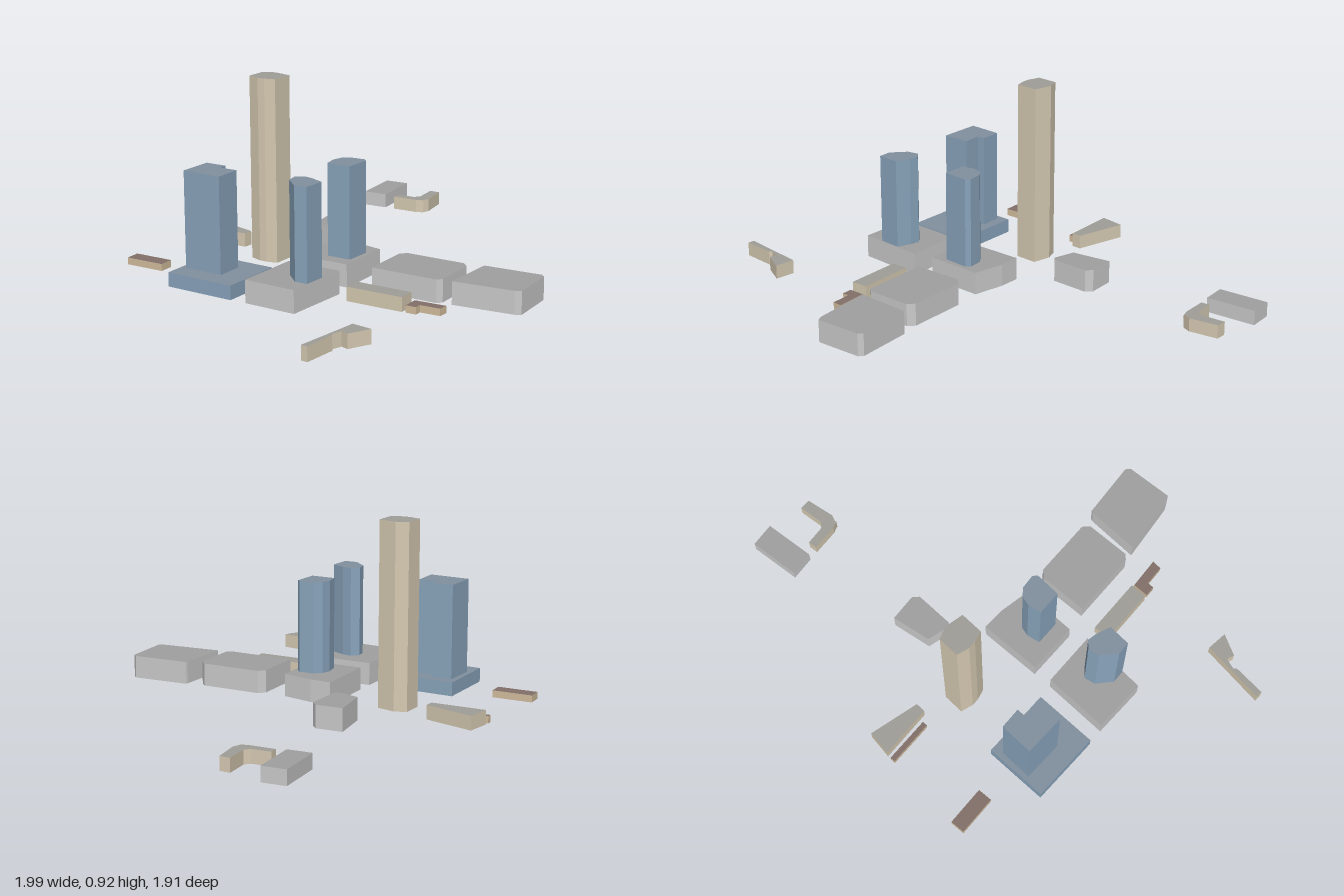
import * as THREE from 'three';

const paint = (color) => new THREE.MeshStandardMaterial({ color, side: THREE.DoubleSide, flatShading: true });

// Wall and roof materials for each kind of building
const grey = { wall: paint(0xcccccc), roof: paint(0xa0a0a0) };
const beige = { wall: paint(0xd8ccb4), roof: paint(0xa09e98) };
const brown = { wall: paint(0xd4bf9e), roof: paint(0x83706a) };
const blue = { wall: paint(0x8aa5bd), roof: paint(0x82909f) };

// Footprint from x, z pairs, clockwise as seen from above
function outline(...values) {
  const points = [];
  for (let i = 0; i < values.length; i += 2) points.push(new THREE.Vector2(values[i], values[i + 1]));
  return points;
}

// Rectangular footprint turned to the street grid, tilt in degrees
function plot(x, z, width, depth, tilt) {
  const centre = new THREE.Vector2(x, z);
  const turn = THREE.MathUtils.degToRad(-tilt);
  return [[-1, -1], [1, -1], [1, 1], [-1, 1]].map(([sx, sz]) =>
    new THREE.Vector2(x + sx * width / 2, z + sz * depth / 2).rotateAround(centre, turn));
}

// Cut corners off a footprint; cuts holds one length per corner, 0 leaves it sharp
function chamfer(points, cuts) {
  return points.flatMap((p, i) => {
    if (!cuts[i]) return [p];
    const before = points[(i + points.length - 1) % points.length];
    const after = points[(i + 1) % points.length];
    return [before, after].map((q) => q.clone().sub(p).setLength(cuts[i]).add(p));
  });
}

// Upright walls around a footprint, with no floor
function wallGeometry(points, height) {
  const positions = [];
  points.forEach((a, i) => {
    const b = points[(i + 1) % points.length];
    positions.push(b.x, 0, b.y, a.x, 0, a.y, a.x, height, a.y);
    positions.push(b.x, 0, b.y, a.x, height, a.y, b.x, height, b.y);
  });
  const geometry = new THREE.BufferGeometry();
  geometry.setAttribute('position', new THREE.Float32BufferAttribute(positions, 3));
  geometry.computeVertexNormals();
  return geometry;
}

// Flat roof filling a footprint
function roofGeometry(points, height) {
  const shape = new THREE.Shape(points.map((p) => new THREE.Vector2(p.x, -p.y)));
  return new THREE.ShapeGeometry(shape).rotateX(-Math.PI / 2).translate(0, height, 0);
}

export function createModel() {
  const model = new THREE.Group();
  model.name = 'cityBlocks';

  const build = (name, style, height, points) => {
    const building = new THREE.Group();
    building.name = name;
    const walls = new THREE.Mesh(wallGeometry(points, height), style.wall);
    walls.name = 'walls';
    const roof = new THREE.Mesh(roofGeometry(points, height), style.roof);
    roof.name = 'roof';
    building.add(walls, roof);
    model.add(building);
  };

  // Towers
  build('tallTower', beige, 0.915,
    outline(-.467, .27, -.42, .227, -.325, .21, -.285, .317, -.33, .35, -.365, .365, -.43, .37));
  build('southTower', blue, 0.545,
    outline(-.345, .665, -.248, .622, -.232, .66, -.147, .622, -.093, .75, -.286, .825));
  build('southEastTower', blue, 0.567,
    outline(.174, .51, .195, .467, .243, .457, .318, .457, .355, .563, .296, .59, .206, .558));
  build('centreTower', blue, 0.567,
    outline(.013, .14, .035, .10, .10, .067, .125, .077, .168, .20, .056, .248, .019, .19));

  // Podiums under the towers
  build('southPodium', blue, 0.07, plot(-.163, .711, .363, .325, 21.8));
  build('southEastPodium', grey, 0.113, outline(.02, .446, .243, .35, .28, .334, .393, .66, .14, .76));
  build('centrePodium', grey, 0.113, outline(-.147, .06, -.045, .02, .115, -.013, .222, .254, -.02, .355));

  // Large blocks with clipped corners
  build('eastBlock', grey, 0.113, chamfer(plot(.437, -.018, .365, .28, 23.5), [.03, .03, .022, 0]));
  build('farEastBlock', grey, 0.113,
    chamfer(outline(.589, -.256, .88, -.402, 1.007, -.132), [.018, .02, .045, 0].slice(0, 2).concat(.04, 0)
      .slice(0, 3)).concat(outline(.70, .003)));
  build('northBlock', grey, 0.113,
    chamfer(outline(-.535, -.18, -.384, -.253, -.295, -.022, -.43, -.005), [0, .03, .022, 0]));
  build('northWestBlock', grey, 0.073, plot(-.889, -.774, .123, .256, 27));

  // Low blocks
  build('northWestBentBlock', beige, 0.067,
    chamfer(outline(-.71, -.94, -.66, -.96, -.57, -.81, -.59, -.777, -.73, -.71, -.75, -.75, -.64, -.805),
      [0, 0, .028, .02, 0, 0, .025]));
  build('westBlock', beige, 0.07, outline(-.88, .297, -.617, .26, -.60, .307, -.85, .42));
  build('eastLongBlock', beige, 0.07, plot(.498, .267, .292, .086, 23.8));
  build('southEastTailBlock', beige, 0.07,
    outline(.81, .628, .91, .60, .90, .718, .86, .72, .865, .777, .88, .782, .932, .943, .90, .953, .84, .735));

  // Small sheds
  build('westStrip', brown, 0.035, plot(-.73, .405, .238, .026, 23.6));
  build('southWestShed', brown, 0.035, plot(-.604, .849, .205, .075, 24));
  build('eastAngledShed', brown, 0.035,
    outline(.633, .163, .777, .093, .793, .14, .70, .184, .713, .216, .665, .238));
  return model;
}
